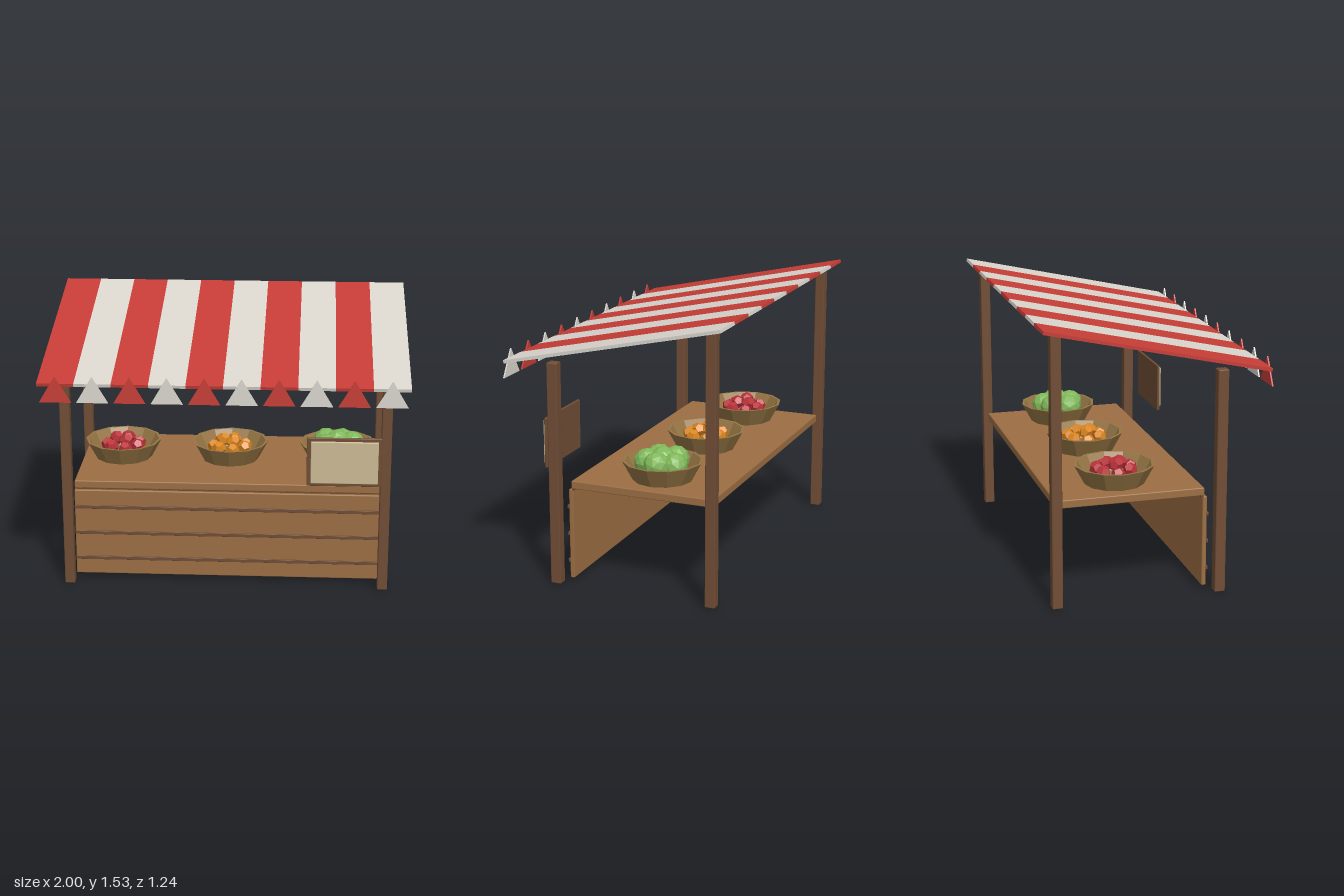
import * as THREE from 'three';
import { RoundedBoxGeometry } from 'three/addons/geometries/RoundedBoxGeometry.js';

export function createModel() {
  const model = new THREE.Group();
  model.name = 'marketStall';

  const paint = (name, color, options = {}) => {
    const m = new THREE.MeshStandardMaterial({ color, ...options });
    m.name = name;
    return m;
  };
  const flat = { flatShading: true };
  const darkWood = paint('darkWood', 0x704d35);
  const wood = paint('wood', 0x9c6e43);
  const basket = paint('basketWood', 0x957544, flat);
  const redCloth = paint('redCloth', 0xc73d37);
  const paleCloth = paint('paleCloth', 0xdad6ce);
  const parchment = paint('parchment', 0xcbba94);
  const appleRed = paint('appleRed', 0xbb333a, flat);
  const orange = paint('orange', 0xdd871f, flat);
  const green = paint('cabbageGreen', 0x80b85a, flat);

  const add = (name, geometry, material, x, y, z, parent = model) => {
    const mesh = new THREE.Mesh(geometry, material);
    mesh.name = name;
    mesh.position.set(x, y, z);
    parent.add(mesh);
    return mesh;
  };
  // Box with slightly eased edges, given by its limits
  const beam = (name, material, [x0, x1], [y0, y1], [z0, z1], ease = 0.006) =>
    add(name, new RoundedBoxGeometry(x1 - x0, y1 - y0, z1 - z0, 1, ease), material,
      (x0 + x1) / 2, (y0 + y1) / 2, (z0 + z1) / 2);

  // Posts: short in front, tall behind
  for (const side of [-1, 1]) {
    const span = side < 0 ? [-0.915, -0.858] : [0.858, 0.915];
    beam('frontPost', darkWood, span, [0.005, 1.25], [0.338, 0.398]);
    beam('rearPost', darkWood, span, [0.005, 1.5], [-0.565, -0.507]);
  }

  // Counter, front panel and its three rails
  beam('counterTop', wood, [-0.86, 0.86], [0.545, 0.59], [-0.535, 0.29]);
  beam('frontPanel', wood, [-0.86, 0.86], [0.03, 0.54], [0.28, 0.306]);
  for (const y of [0.13, 0.285, 0.44])
    beam('panelRail', darkWood, [-0.86, 0.86], [y - 0.01, y + 0.01], [0.304, 0.315], 0.002);
  beam('counterTrim', darkWood, [-0.86, 0.86], [0.537, 0.548], [0.27, 0.288], 0.002);

  // Sloping striped awning with a row of pennants along the front
  const rise = 0.275, run = 1.225;
  const awning = new THREE.Group();
  awning.name = 'awning';
  awning.position.set(0, 1.391, -0.008);
  awning.rotation.x = Math.atan2(rise, run);
  model.add(awning);
  const stripe = new THREE.BoxGeometry(0.2, 0.018, Math.hypot(rise, run));
  const triangle = new THREE.Shape([
    new THREE.Vector2(-0.086, 0), new THREE.Vector2(0.086, 0), new THREE.Vector2(0, 0.145),
  ]);
  const pennant = new THREE.ExtrudeGeometry(triangle, { depth: 0.008, bevelEnabled: false });
  for (let i = 0; i < 10; i++) {
    const x = -0.9 + i * 0.2;
    const cloth = i % 2 ? paleCloth : redCloth;
    add('awningStripe', stripe, cloth, x, 0, 0, awning);
    add('pennant', pennant, cloth, x, 1.16, 0.609);
  }

  // Blank price board
  beam('signBack', darkWood, [0.45, 0.86], [0.645, 0.925], [0.43, 0.446], 0.004);
  beam('signFace', parchment, [0.472, 0.842], [0.665, 0.907], [0.444, 0.46], 0.004);

  // Hollow faceted baskets
  const profile = [[0, 0], [0.165, 0], [0.222, 0.106], [0.207, 0.106], [0.155, 0.014], [0, 0.014]]
    .map(([r, y]) => new THREE.Vector2(r, y));
  const bowl = new THREE.LatheGeometry(profile, 12);

  // Each heap is a list of rings: count, ring radius, height, turn
  const heap = (name, x, geometry, material, rings) => {
    const group = new THREE.Group();
    group.name = name + 'Basket';
    group.position.set(x, 0.59, -0.148);
    model.add(group);
    add('basket', bowl, basket, 0, 0, 0, group);
    let n = 0;
    for (const [count, radius, y, turn] of rings)
      for (let i = 0; i < count; i++) {
        const a = turn + (i / count) * Math.PI * 2;
        const item = add(name, geometry, material,
          Math.sin(a) * radius, y + 0.006 * Math.sin(n * 2.3), Math.cos(a) * radius, group);
        item.rotation.set(n * 1.1, n * 0.7, n * 1.9);
        n++;
      }
  };
  const fruit = new THREE.DodecahedronGeometry(0.04);
  const fruitRings = [[7, 0.095, 0.075, 0.2], [3, 0.04, 0.105, 0.5]];
  heap('apple', -0.627, fruit, appleRed, fruitRings);
  heap('orange', 0, fruit, orange, fruitRings);
  heap('cabbage', 0.627, new THREE.IcosahedronGeometry(0.074, 1), green,
    [[5, 0.084, 0.094, 0.3], [1, 0, 0.112, 0]]);

  return model;
}
